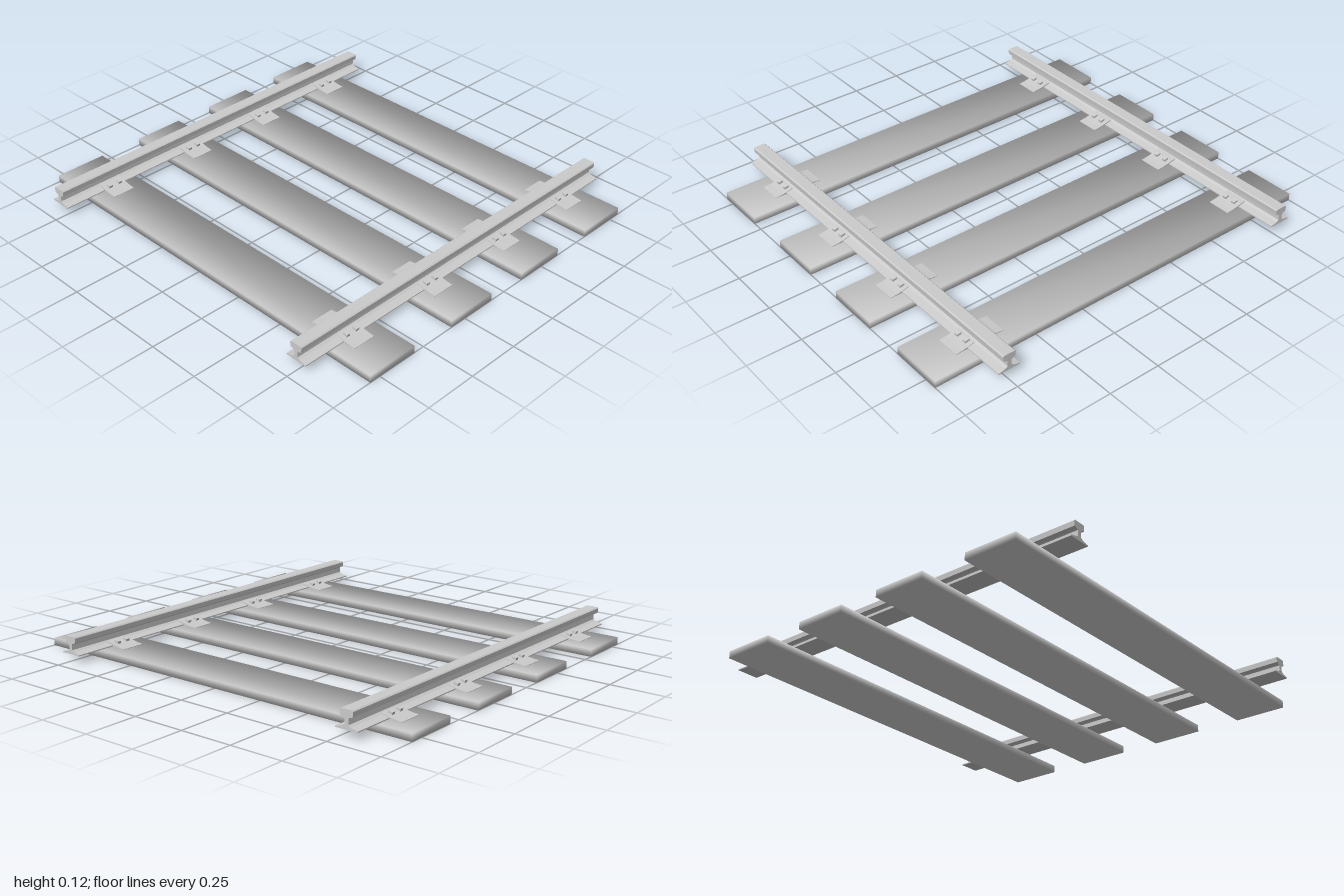
import * as THREE from 'three';
import { mergeVertices } from 'three/addons/utils/BufferGeometryUtils.js';

const material = new THREE.MeshStandardMaterial({ color: 0xcccccc });

// Mirrors a half profile [across, up] and extrudes it along x, centred
function profileAlongX(half, length) {
  const points = [...half, ...half.map(([a, y]) => [-a, y]).reverse()];
  const shape = new THREE.Shape(points.map(([a, y]) => new THREE.Vector2(a, y)));
  const geometry = new THREE.ExtrudeGeometry(shape, { depth: length, bevelEnabled: false });
  return geometry.translate(0, 0, -length / 2).rotateY(Math.PI / 2);
}

// Box with shared, softly averaged corner normals
function softBox(w, h, d) {
  let geometry = new THREE.BoxGeometry(w, h, d);
  geometry.deleteAttribute('uv');
  geometry.deleteAttribute('normal');
  geometry = mergeVertices(geometry);
  const p = geometry.attributes.position;
  const normals = [];
  const k = 1 / Math.sqrt(3);
  for (let i = 0; i < p.count; i++) {
    normals.push(Math.sign(p.getX(i)) * k, Math.sign(p.getY(i)) * k, Math.sign(p.getZ(i)) * k);
  }
  geometry.setAttribute('normal', new THREE.Float32BufferAttribute(normals, 3));
  return geometry;
}

export function createModel() {
  const model = new THREE.Group();
  model.name = 'railwayTrack';

  const add = (parent, name, geometry, x, y, z) => {
    const mesh = new THREE.Mesh(geometry, material);
    mesh.name = name;
    mesh.position.set(x, y, z);
    parent.add(mesh);
    return mesh;
  };

  // Rail section: foot, thin web and head
  const railGeometry = profileAlongX([
    [0.053, 0.036], [0.053, 0.041], [0.02, 0.048], [0.009, 0.056], [0.009, 0.08],
    [0.014, 0.085], [0.029, 0.09], [0.031, 0.112], [0.026, 0.117],
  ], 1.875);

  // Tie plate sweeping up over the rail foot
  const plateGeometry = profileAlongX([
    [0.118, 0.032], [0.118, 0.036], [0.085, 0.039], [0.058, 0.044], [0.035, 0.05], [0.01, 0.053],
  ], 0.11);

  const sleeperGeometry = softBox(0.25, 0.034, 2);
  const spikeGeometry = new THREE.BoxGeometry(0.018, 0.014, 0.022);

  const sleepers = [-0.677, -0.207, 0.24, 0.685];
  const rails = [0.738, -0.792];

  for (const x of sleepers) add(model, 'sleeper', sleeperGeometry, x, 0.017, 0);

  for (const z of rails) {
    add(model, 'rail', railGeometry, -0.002, 0, z);

    for (const x of sleepers) {
      const fastening = new THREE.Group();
      fastening.name = 'railFastening';
      fastening.position.set(x, 0, z + (z > 0 ? -0.008 : 0.006));
      model.add(fastening);
      add(fastening, 'tiePlate', plateGeometry, 0, 0, 0);

      // Pair of spike heads on each side of the rail
      for (const side of [-1, 1]) {
        for (const dx of [-0.026, 0.026]) {
          const spike = add(fastening, 'spike', spikeGeometry, dx, 0.051, side * 0.046);
          spike.rotation.x = side * 0.2;
        }
      }
    }
  }
  return model;
}
